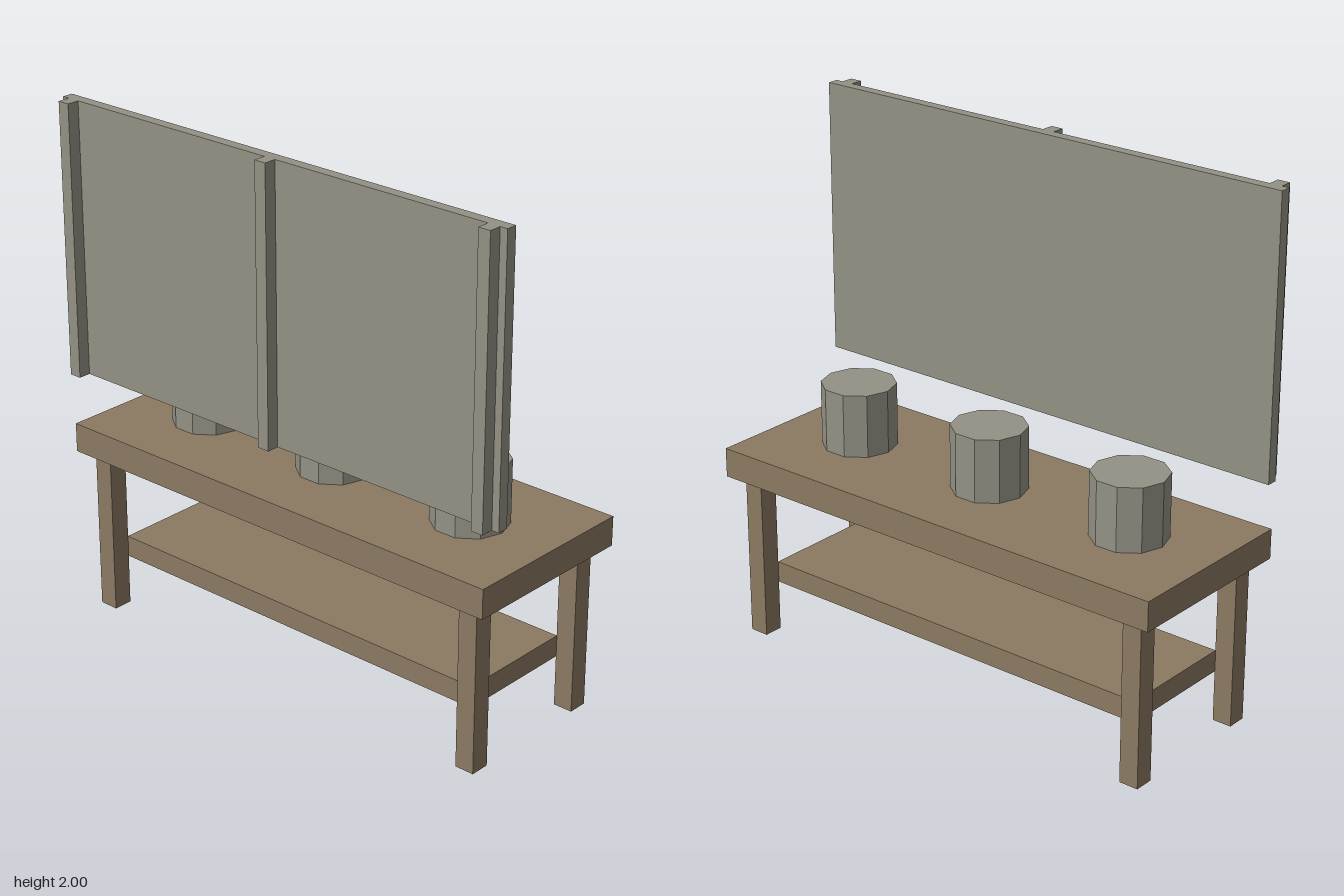
import * as THREE from 'three';

export function createModel() {
  const model = new THREE.Group();
  const wood = new THREE.MeshStandardMaterial({ color: 0x8b7a62 });
  wood.name = 'brown wood';
  const grey = new THREE.MeshStandardMaterial({ color: 0x949285 });
  grey.name = 'warm grey';

  // Box given by its extents on each axis
  const box = (name, material, [x0, x1], [y0, y1], [z0, z1], parent) => {
    const mesh = new THREE.Mesh(new THREE.BoxGeometry(x1 - x0, y1 - y0, z1 - z0), material);
    mesh.position.set((x0 + x1) / 2, (y0 + y1) / 2, (z0 + z1) / 2);
    mesh.name = name;
    parent.add(mesh);
  };

  // Table: top, lower shelf and four legs, centred a little behind the origin
  const table = new THREE.Group();
  table.name = 'table';
  table.position.z = -0.006;
  model.add(table);
  box('tableTop', wood, [-0.97, 0.97], [0.637, 0.75], [-0.357, 0.357], table);
  box('shelf', wood, [-0.838, 0.838], [0.197, 0.28], [-0.238, 0.238], table);
  for (const sx of [-1, 1]) {
    for (const sz of [-1, 1]) {
      const x = sx * 0.875, z = sz * 0.276;
      box('leg', wood, [x - 0.038, x + 0.038], [0, 0.637], [z - 0.038, z + 0.038], table);
    }
  }

  // Three ten-sided drums, with corners pointing along x
  const drumGeometry = new THREE.CylinderGeometry(0.141, 0.141, 0.243, 10, 1, false, Math.PI / 2)
    .toNonIndexed();
  drumGeometry.computeVertexNormals();
  for (const x of [-0.624, 0, 0.624]) {
    const drum = new THREE.Mesh(drumGeometry, grey);
    drum.position.set(x, 0.8715, 0);
    drum.name = 'drum';
    table.add(drum);
  }

  // Raised board with three upright battens on its front
  const board = new THREE.Group();
  board.name = 'board';
  model.add(board);
  box('panel', grey, [-1, 1], [0.953, 2], [0.273, 0.315], board);
  for (const x of [-0.947, 0, 0.947]) {
    box('batten', grey, [x - 0.024, x + 0.024], [0.953, 2], [0.315, 0.363], board);
  }

  return model;
}
